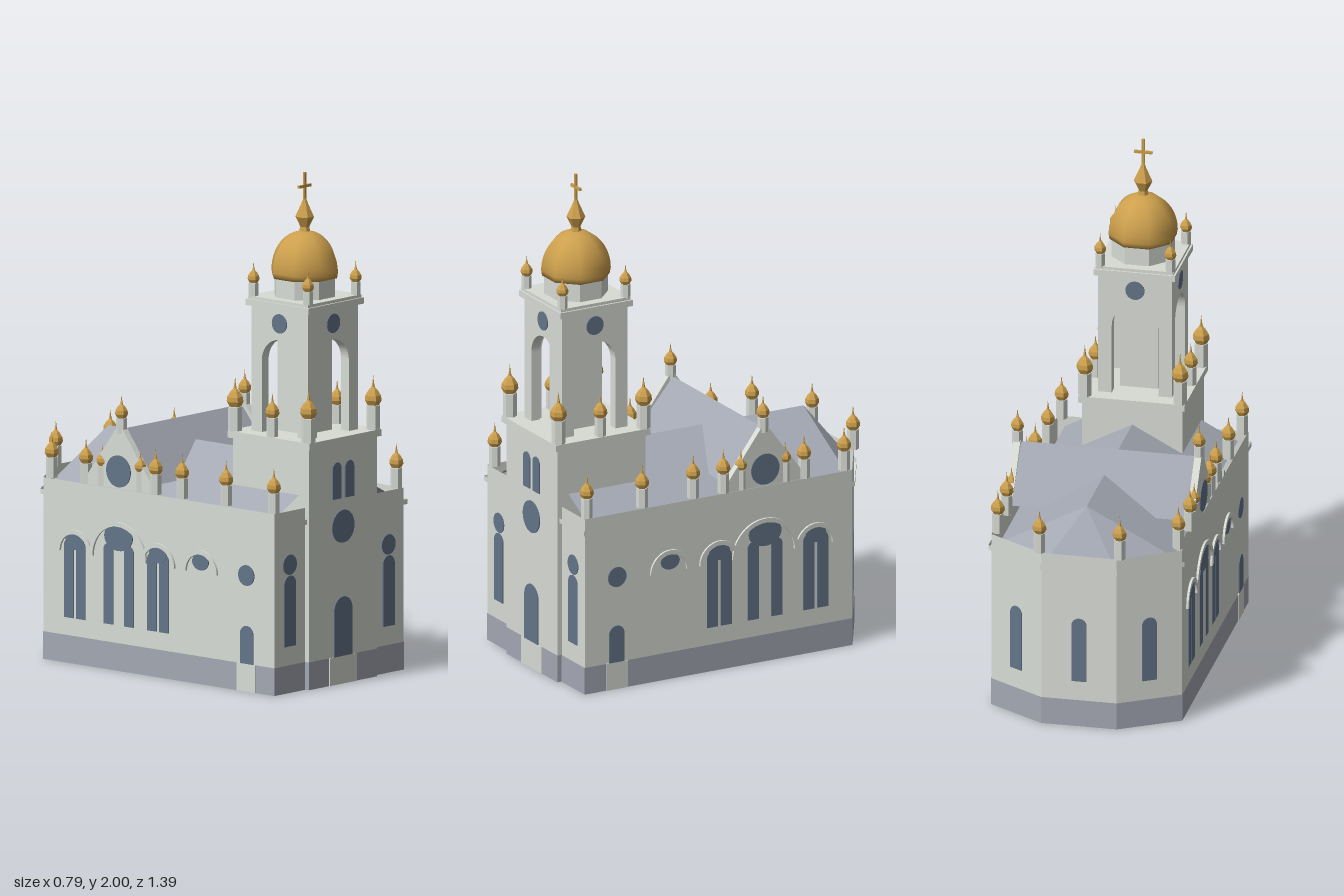
import * as THREE from 'three';

const mat = (name, color, side = THREE.FrontSide) =>
  Object.assign(new THREE.MeshStandardMaterial({ color, side }), { name });

export function createModel() {
  const model = new THREE.Group();
  model.name = 'church';
  const wall = mat('pale stone', 0xd8dcd5, THREE.DoubleSide);
  const slate = mat('slate grey', 0xa4a8b3, THREE.DoubleSide);
  const glass = mat('blue grey glass', 0x647589);
  const gold = mat('gold', 0xcda04d);

  const add = (name, geo, material, x = 0, y = 0, z = 0, parent = model) => {
    const mesh = new THREE.Mesh(geo, material);
    mesh.name = name;
    mesh.position.set(x, y, z);
    parent.add(mesh);
    return mesh;
  };
  // Box given by its bottom centre
  const box = (name, material, w, h, d, x, y, z) =>
    add(name, new THREE.BoxGeometry(w, h, d), material, x, y + h / 2, z);
  // Flat-shaded surface from convex polygons
  const surface = (polys) => {
    const pos = [];
    for (const p of polys)
      for (let i = 1; i < p.length - 1; i++) pos.push(...p[0], ...p[i], ...p[i + 1]);
    const g = new THREE.BufferGeometry();
    g.setAttribute('position', new THREE.Float32BufferAttribute(pos, 3));
    g.computeVertexNormals();
    return g;
  };
  const flat = (g) => {
    const f = g.toNonIndexed();
    f.computeVertexNormals();
    return f;
  };

  // Shapes for windows, doors and mouldings
  const arched = (hw, h) => {
    const s = new THREE.Shape();
    s.moveTo(-hw, 0);
    s.lineTo(hw, 0);
    s.lineTo(hw, h - hw);
    s.absarc(0, h - hw, hw, 0, Math.PI, false);
    s.closePath();
    return s;
  };
  const oval = (rx, ry = rx) =>
    new THREE.Shape().absellipse(0, 0, rx, ry, 0, Math.PI * 2, false, 0);
  const archBand = (r, t) => {
    const s = new THREE.Shape();
    s.absarc(0, 0, r, 0, Math.PI, false);
    s.absarc(0, 0, r - t, Math.PI, 0, true);
    s.closePath();
    return s;
  };
  const polygon = (pts) => new THREE.Shape(pts.map(([x, y]) => new THREE.Vector2(x, y)));
  const rect = (hw, h) => polygon([[-hw, 0], [hw, 0], [hw, h], [-hw, h]]);
  // Plate standing out from a wall, turned about y
  const plate = (name, shape, material, x, y, z, ry = 0, depth = 0.004) => {
    const g = new THREE.ExtrudeGeometry(shape, { depth, bevelEnabled: false, curveSegments: 14 });
    add(name, g, material, x, y, z).rotation.y = ry;
  };

  // Upright open band round a plan of [x, z] corners
  const band = (plan, y0, y1) => surface(plan.map(([x, z], i) => {
    const [x2, z2] = plan[(i + 1) % plan.length];
    return [[x, y0, z], [x2, y0, z2], [x2, y1, z2], [x, y1, z]];
  }));
  // Nave and apse plan, pushed outwards by o
  const navePlan = (o) => {
    const half = [[0.38 + o, 0.66 + o], [0.38 + o, -0.54 - 0.56 * o], [0.15 + 0.28 * o, -0.68 - o]];
    return [...half, ...half.map(([x, z]) => [-x, z]).reverse()];
  };
  add('naveWalls', band(navePlan(0), 0, 0.72), wall);
  add('basePlinth', band(navePlan(0.0015), 0, 0.11), slate);
  add('naveCornice', band(navePlan(0.011), 0.655, 0.675), wall);

  // Main roof with hipped apse end
  const ev = 0.69, rg = 0.873;
  const A = [0.345, ev, 0.63], B = [0.345, ev, -0.54], C = [0.13, ev, -0.66];
  const R1 = [0, rg, 0.63], R2 = [0, rg, -0.54];
  const mir = ([x, y, z]) => [-x, y, z];
  add('mainRoof', surface([[A, B, R2, R1], [B, C, R2], [C, mir(C), R2],
    [mir(A), R1, R2, mir(B)], [mir(B), R2, mir(C)]]), slate);
  // Cross roof between the side gables
  const c = -0.153, w = 0.35;
  add('crossRoof', surface([
    [[-w, 0.752, c + 0.17], [w, 0.752, c + 0.17], [w, 0.955, c], [-w, 0.955, c]],
    [[w, 0.752, c - 0.17], [-w, 0.752, c - 0.17], [-w, 0.955, c], [w, 0.955, c]]]), slate);

  // Pinnacle: six-sided post with a gold onion bud
  const bud = [[0, 0], [0.75, 0.02], [1.08, 0.65], [1, 1.25], [0.6, 1.9], [0.22, 2.3], [0.12, 2.8], [0, 3.8]];
  const pinnacle = (x, y, z, r, h) => {
    const g = new THREE.Group();
    g.name = 'pinnacle';
    g.position.set(x, y, z);
    g.rotation.y = Math.PI / 6;
    add('pinnaclePost', flat(new THREE.CylinderGeometry(r * 0.88, r * 0.88, h, 6)), wall, 0, h / 2, 0, g);
    const pts = bud.map(([a, b]) => new THREE.Vector2(a * r, b * r));
    add('pinnacleBud', flat(new THREE.LatheGeometry(pts, 6)), gold, 0, h, 0, g);
    model.add(g);
  };

  const gable = polygon([[-0.195, 0.72], [0.195, 0.72], [0, 0.98]]);
  for (const s of [1, -1]) {
    const ry = s * Math.PI / 2, X = s * 0.38;
    // Side gable with round window
    plate('sideGable', gable, wall, s * 0.347, 0, -0.15, ry, 0.028);
    plate('gableWindow', oval(0.063), glass, s * 0.378, 0.79, -0.15, ry);
    // Side door and porthole
    plate('sideDoorSurround', rect(0.048, 0.11), wall, X, 0, 0.516, ry);
    plate('sideDoor', arched(0.034, 0.15), glass, X, 0.11, 0.518, ry);
    plate('sideRoundWindow', oval(0.041), glass, X, 0.46, 0.516, ry);
    // Arcade: [z, arch radius, slit offset, slit top, oval rx, oval ry, oval y]
    for (const [z, r, off, top, rx, ryy, oy] of [
      [0.278, 0.09, 0, 0, 0.042, 0.034, 0.485],
      [0.057, 0.09, 0.031, 0.49, 0.046, 0.035, 0.487],
      [-0.148, 0.148, 0.053, 0.5, 0.073, 0.055, 0.53],
      [-0.376, 0.09, 0.031, 0.49, 0.046, 0.035, 0.487]]) {
      plate('arcadeArch', archBand(r, 0.018), wall, X, 0.442, z, ry, 0.009);
      plate('arcadeOval', oval(rx, ryy), glass, X, oy, z, ry);
      if (off) for (const k of [-1, 1])
        plate('arcadeSlit', arched(0.0245, top - 0.18), glass, X, 0.18, z + k * off, ry, 0.003);
    }
    // Slanted apse window
    plate('apseWindow', arched(0.03, 0.265), glass, s * 0.265, 0.19, -0.61, Math.atan2(s * 0.52, -0.854));
    // Front window either side of the tower
    plate('frontSlit', arched(0.034, 0.28), glass, s * 0.29, 0.185, 0.66);
    plate('frontRoundWindow', oval(0.04), glass, s * 0.29, 0.508, 0.66, 0, 0.003);
    // Parapet pinnacles
    for (const [x, z] of [[0.16, -0.67], [0.36, -0.515], [0.365, -0.332], [0.365, 0.03],
      [0.36, 0.163], [0.36, 0.392], [0.36, 0.64]]) pinnacle(s * x, 0.72, z, 0.026, 0.08);
    for (const z of [-0.05, -0.248]) pinnacle(s * 0.364, 0.72, z, 0.022, 0.08);
    pinnacle(s * 0.362, 0.94, -0.15, 0.024, 0.06);
    // Tower shoulder and belfry pinnacles
    for (const z of [0.288, 0.67]) pinnacle(s * 0.19, 0.98, z, 0.031, 0.095);
    pinnacle(s * 0.19, 0.98, 0.482, 0.026, 0.075);
    for (const z of [0.34, 0.623]) pinnacle(s * 0.14, 1.51, z, 0.022, 0.055);
    // Paired windows on the tower face
    plate('towerSlit', arched(0.026, 0.145), glass, s * 0.037, 0.735, 0.68);
  }
  plate('apseWindow', arched(0.03, 0.265), glass, 0, 0.19, -0.68, Math.PI);

  // Tower shaft, open underneath
  const tz = 0.482;
  const towerPlan = [[0.2, 0.68], [0.2, 0.285], [-0.2, 0.285], [-0.2, 0.68]];
  add('towerPlinth', band(towerPlan, 0, 0.11), slate);
  add('towerShaft', band(towerPlan, 0.11, 0.955), wall);
  box('towerCornice', wall, 0.425, 0.027, 0.425, 0, 0.953, tz);
  plate('doorSurround', rect(0.08, 0.11), wall, 0, 0, 0.68, 0, 0.003);
  plate('frontDoor', arched(0.053, 0.235), glass, 0, 0.11, 0.68);
  plate('roseWindow', oval(0.065), glass, 0, 0.623, 0.68);

  // Belfry: four arched walls round a core
  const hw = 0.147;
  const belfryWall = new THREE.Shape();
  belfryWall.moveTo(-hw, 0);
  belfryWall.lineTo(-0.093, 0);
  belfryWall.lineTo(-0.093, 0.282);
  belfryWall.absarc(0, 0.282, 0.093, Math.PI, 0, true);
  for (const [x, y] of [[0.093, 0], [hw, 0], [hw, 0.5], [-hw, 0.5]]) belfryWall.lineTo(x, y);
  belfryWall.closePath();
  for (let i = 0; i < 4; i++) {
    const a = i * Math.PI / 2, sx = Math.sin(a), cz = Math.cos(a);
    plate('belfryWall', belfryWall, wall, sx * (hw - 0.04), 0.98, tz + cz * (hw - 0.04), a, 0.04);
    plate('belfryRoundWindow', oval(0.038), glass, sx * hw, 1.42, tz + cz * hw, a);
  }
  box('belfryCore', wall, 0.15, 0.5, 0.15, 0, 0.98, tz);
  box('belfryCornice', wall, 0.326, 0.025, 0.326, 0, 1.477, tz);
  box('belfryCorniceTop', wall, 0.312, 0.014, 0.312, 0, 1.5, tz);

  // Octagonal drum and dome
  const drum = add('drum', flat(new THREE.CylinderGeometry(0.125, 0.125, 0.09, 8)), wall, 0, 1.552, tz);
  drum.rotation.y = Math.PI / 8;
  const domePts = [[0, 1.588], [0.133, 1.588]];
  for (let i = 0; i <= 10; i++) {
    const t = i / 10 * Math.PI / 2;
    domePts.push([0.137 * Math.cos(t), 1.61 + 0.16 * Math.sin(t)]);
  }
  const dome = add('dome', new THREE.LatheGeometry(domePts.map((p) => new THREE.Vector2(...p)), 8), gold, 0, 0, tz);
  dome.rotation.y = Math.PI / 8;

  // Finial and cross
  const fin = [[0.025, 1.755], [0.018, 1.785], [0.037, 1.825], [0.012, 1.88], [0.005, 1.9], [0, 1.9]];
  const finial = add('finial', flat(new THREE.LatheGeometry(fin.map((p) => new THREE.Vector2(...p)), 6)), gold, 0, 0, tz);
  finial.rotation.y = Math.PI / 6;
  box('crossPost', gold, 0.011, 0.11, 0.009, 0, 1.89, tz);
  box('crossBar', gold, 0.072, 0.011, 0.009, 0, 1.94, tz);

  return model;
}
